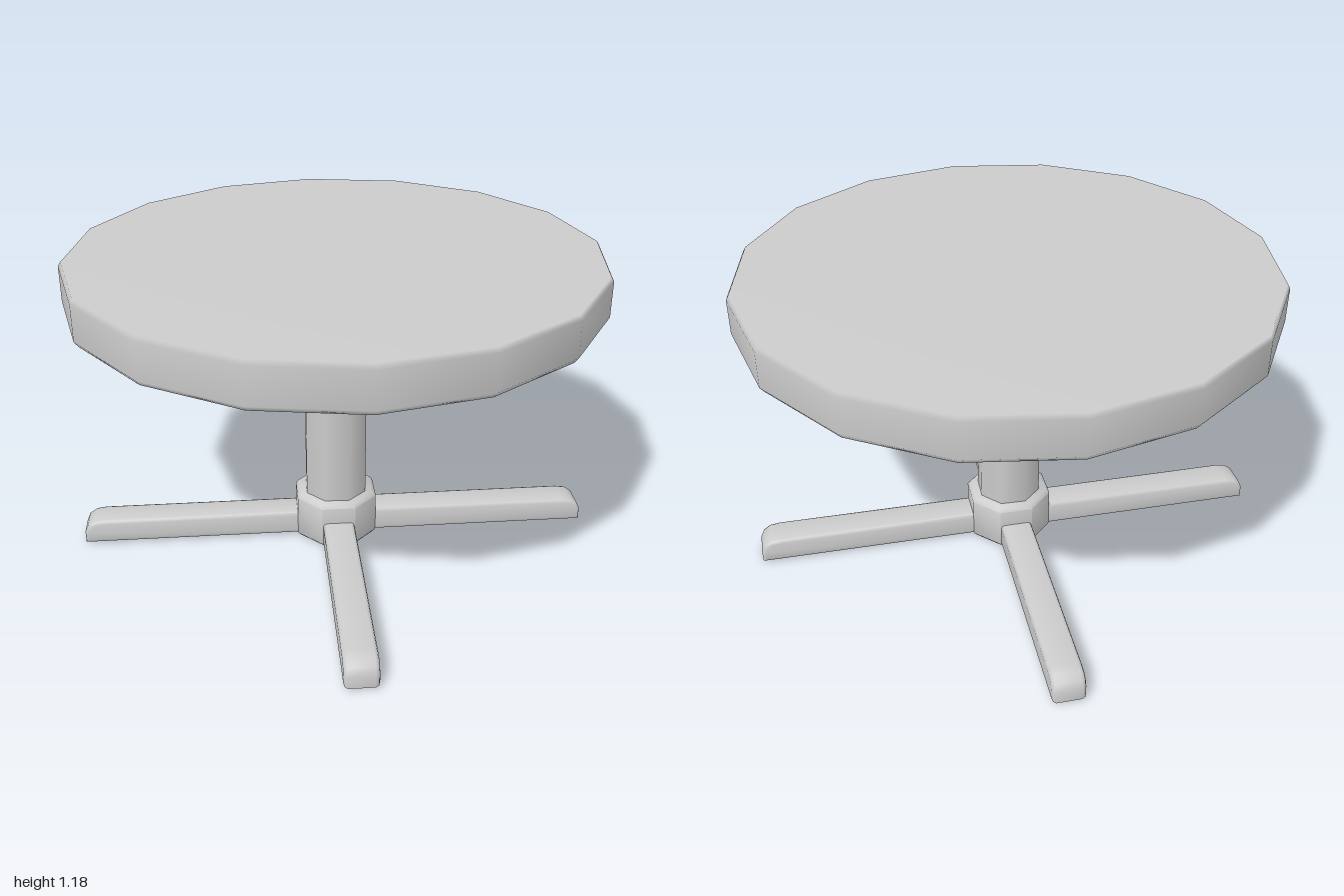
import * as THREE from 'three';
import { toCreasedNormals } from 'three/addons/utils/BufferGeometryUtils.js';

export function createModel() {
  const model = new THREE.Group();
  model.name = 'roundTable';
  const material = new THREE.MeshStandardMaterial({ color: 0xcccccc });

  const add = (name, geometry, parent) => {
    const mesh = new THREE.Mesh(geometry, material);
    mesh.name = name;
    parent.add(mesh);
    return mesh;
  };
  // Turned part from [radius, height] pairs, listed bottom to top
  const turned = (profile, sides, start = 0) =>
    new THREE.LatheGeometry(profile.map(([r, y]) => new THREE.Vector2(r, y)), sides, start);

  // Sixteen-sided top with a small chamfer on both rims
  add('tableTop', turned(
    [[0, 1.015], [0.985, 1.015], [1, 1.035], [1, 1.168], [0.99, 1.185], [0, 1.185]], 16), model);

  // Pedestal, turned slightly off the axes
  const base = new THREE.Group();
  base.name = 'base';
  base.rotation.y = -0.03;
  model.add(base);

  add('column', turned([[0.127, 0.15], [0.127, 1.02]], 8, Math.PI / 8 - 0.03), base);
  add('hub', toCreasedNormals(turned(
    [[0, 0], [0.16, 0], [0.17, 0.012], [0.17, 0.172], [0.157, 0.187], [0, 0.187]],
    8, Math.PI / 8), 0.9), base);

  // Leg: side outline with a rounded toe, chamfered along its edges
  const bevel = 0.015;
  const outline = new THREE.Shape([
    [0.05, 0.022], [0.995, 0.022], [0.995, 0.05], [0.985, 0.072], [0.965, 0.086], [0.93, 0.091], [0.05, 0.091],
  ].map(([x, y]) => new THREE.Vector2(x, y)));
  const width = 0.124;
  const legGeometry = toCreasedNormals(new THREE.ExtrudeGeometry(outline, {
    depth: width - 2 * bevel,
    bevelEnabled: true,
    bevelSize: bevel,
    bevelThickness: bevel,
    bevelSegments: 2,
  }).translate(0, 0, bevel - width / 2), 0.9);

  // Four legs on the diagonals
  for (let i = 0; i < 4; i++) {
    add('leg' + (i + 1), legGeometry, base).rotation.y = Math.PI / 4 + i * Math.PI / 2;
  }
  return model;
}
